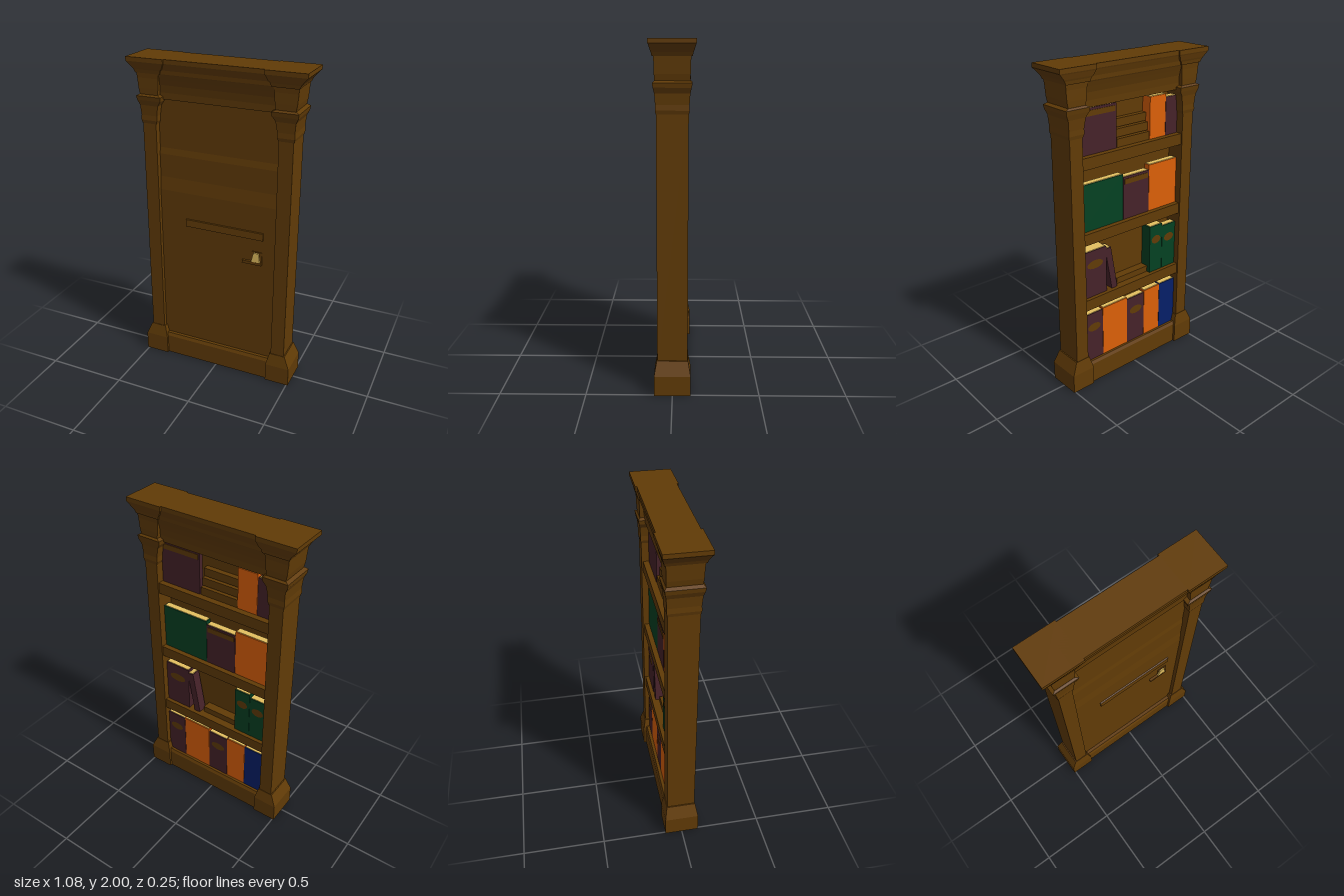
import * as THREE from 'three';

const mat = (name, color) => Object.assign(new THREE.MeshStandardMaterial({ color, side: THREE.DoubleSide, flatShading: true }), { name });

export function createModel() {
  const wood = mat('wood', 0x613b06);
  const purple = mat('purpleCover', 0x462229);
  const green = mat('greenCover', 0x044122);
  const orange = mat('orangeCover', 0xdc6008);
  const blue = mat('blueCover', 0x051f68);
  const cream = mat('pages', 0xe4c060);

  const root = new THREE.Group();
  root.name = 'bookcaseDoor';

  const add = (name, geo, material, parent = root) => {
    const m = new THREE.Mesh(geo, material);
    m.name = name;
    parent.add(m);
    return m;
  };
  // Box given by its limits on each axis
  const box = (name, x0, x1, y0, y1, z0, z1, material = wood, parent = root) => {
    const m = add(name, new THREE.BoxGeometry(x1 - x0, y1 - y0, z1 - z0), material, parent);
    m.position.set((x0 + x1) / 2, (y0 + y1) / 2, (z0 + z1) / 2);
    return m;
  };
  // Moulding: [z, y] profile swept along x over the given width
  const moulding = (name, profile, width) => {
    const shape = new THREE.Shape(profile.map(([z, y]) => new THREE.Vector2(z, y)));
    const geo = new THREE.ExtrudeGeometry(shape, { depth: width, bevelEnabled: false });
    geo.rotateY(-Math.PI / 2);
    geo.translate(width / 2, 0, 0);
    return add(name, geo, wood);
  };
  // Rectangular loft: rows of [y, innerX, outerX, halfZ]; side mirrors it
  const loft = (name, rows, side, capBottom, capTop) => {
    const rings = rows.map(([y, a, b, z]) => {
      const r = [[a, y, z], [b, y, z], [b, y, -z], [a, y, -z]].map(([x, h, d]) => [x * side, h, d]);
      return side > 0 ? r : [r[1], r[0], r[3], r[2]];
    });
    const pos = [];
    const quad = (a, b, c, d) => pos.push(...a, ...b, ...c, ...a, ...c, ...d);
    for (let i = 0; i + 1 < rings.length; i++) {
      for (let k = 0; k < 4; k++) {
        const n = (k + 1) % 4;
        quad(rings[i][k], rings[i][n], rings[i + 1][n], rings[i + 1][k]);
      }
    }
    const t = rings[rings.length - 1], o = rings[0];
    if (capTop) quad(t[0], t[1], t[2], t[3]);
    if (capBottom) quad(o[3], o[2], o[1], o[0]);
    const geo = new THREE.BufferGeometry();
    geo.setAttribute('position', new THREE.Float32BufferAttribute(pos, 3));
    geo.computeVertexNormals();
    return add(name, geo, wood);
  };

  // Pillars with open-bottomed pedestals, flared capitals and corner cornices
  for (const s of [1, -1]) {
    const side = s > 0 ? 'left' : 'right';
    loft(side + 'Pedestal', [
      [0, 0.355, 0.51, 0.105], [0.12, 0.355, 0.51, 0.105],
      [0.2, 0.375, 0.475, 0.09],
    ], s, false, true);
    loft(side + 'Pillar', [[0.13, 0.382, 0.468, 0.087], [1.65, 0.382, 0.468, 0.087]], s, true, false);
    loft(side + 'Capital', [
      [1.61, 0.38, 0.47, 0.088], [1.63, 0.372, 0.475, 0.092], [1.66, 0.372, 0.473, 0.091],
      [1.72, 0.362, 0.478, 0.095], [1.75, 0.342, 0.492, 0.102], [1.775, 0.338, 0.496, 0.106],
      [1.785, 0.36, 0.478, 0.095],
    ], s, true, true);
    loft(side + 'Block', [
      [1.78, 0.36, 0.474, 0.094], [1.82, 0.355, 0.482, 0.096], [1.88, 0.35, 0.487, 0.097], [1.915, 0.345, 0.49, 0.1],
    ], s, true, false);
    loft(side + 'CornerCornice', [
      [1.91, 0.335, 0.492, 0.106], [1.93, 0.33, 0.502, 0.11], [1.94, 0.32, 0.51, 0.114],
      [1.968, 0.307, 0.535, 0.122], [1.975, 0.303, 0.542, 0.125], [2, 0.303, 0.542, 0.125],
    ], s, true, true);
  }

  // Header cove and cornice between the pillars, same on both faces
  const half = [
    [0.066, 1.76], [0.068, 1.8], [0.075, 1.845], [0.087, 1.88], [0.096, 1.905],
    [0.1, 1.912], [0.102, 1.935], [0.112, 1.968], [0.115, 1.975], [0.115, 2],
  ];
  moulding('header', [...half, ...half.map(([z, y]) => [-z, y]).reverse()], 0.74);

  // Door panel, stepping back slightly towards the top
  moulding('doorPanel', [
    [0.025, 0.13], [0.06, 0.13], [0.06, 1.19], [0.052, 1.275], [0.052, 1.42],
    [0.046, 1.46], [0.046, 1.78], [0.025, 1.78],
  ], 0.77);

  // Base: front and back boards with a hollow underside
  moulding('baseFront', [[0.07, 0], [0.09, 0], [0.09, 0.13], [0.08, 0.15], [0.05, 0.15], [0.05, 0.13], [0.07, 0.13]], 0.74);
  moulding('baseBack', [[-0.07, 0], [-0.07, 0.15], [-0.08, 0.15], [-0.09, 0.13], [-0.09, 0]], 0.74);
  box('bottomShelf', -0.385, 0.385, 0.11, 0.145, -0.08, 0.07);

  // Door rail and handle
  moulding('doorRail', [[0.055, 0.97], [0.071, 0.973], [0.068, 1.018], [0.055, 1.022]], 0.51).position.x = 0.045;
  const handle = new THREE.Group();
  handle.name = 'handle';
  root.add(handle);
  box('handlePlate', 0.232, 0.295, 0.81, 0.89, 0.055, 0.065, wood, handle);
  const knobShape = new THREE.Shape([[0.228, 0.822], [0.285, 0.822], [0.275, 0.884], [0.244, 0.884]].map((p) => new THREE.Vector2(...p)));
  const knob = add('handleKnob', new THREE.ExtrudeGeometry(knobShape, { depth: 0.012, bevelEnabled: false }), cream, handle);
  knob.position.z = 0.062;
  box('handleLever', 0.17, 0.295, 0.805, 0.823, 0.06, 0.075, wood, handle);

  // Shelves on the back
  const shelfTops = [0.145, 0.59, 1.025, 1.485];
  shelfTops.slice(1).forEach((y) => box('shelf', -0.385, 0.385, y - 0.07, y, -0.078, 0.03));

  // Books: cover, cream page tops and optional spine label
  const books = new THREE.Group();
  books.name = 'books';
  root.add(books);
  const spines = [-0.06, -0.054, -0.047, -0.042];
  const book = (x0, x1, row, h, cover, label, depth = 0.042) => {
    const g = new THREE.Group();
    g.name = 'book';
    const w = x1 - x0 - 0.002;
    const spineZ = spines[row];
    g.position.set((x0 + x1) / 2, shelfTops[row], 0);
    books.add(g);
    box('cover', -w / 2, w / 2, 0, h, spineZ, spineZ + depth, cover, g);
    box('pageTops', -w / 2 + 0.006, w / 2 - 0.006, h, h + 0.004, spineZ + 0.005, spineZ + depth, cream, g);
    if (label === 'oval') {
      const o = add('label', new THREE.CircleGeometry(1, 14), wood, g);
      o.scale.set(Math.min(w * 0.36, 0.06), 0.028, 1);
      o.rotation.y = Math.PI;
      o.position.set(0, h * 0.7, spineZ - 0.002);
    } else if (label === 'band') {
      box('label', -w / 2 + 0.01, w / 2 - 0.01, h * 0.83, h * 0.95, spineZ - 0.003, spineZ, wood, g);
    }
    return g;
  };
  // Bottom row
  book(0.24, 0.378, 0, 0.33, purple, 'oval');
  book(0.04, 0.24, 0, 0.335, orange);
  book(-0.104, 0.04, 0, 0.32, purple, 'oval');
  book(-0.24, -0.104, 0, 0.33, orange);
  book(-0.378, -0.24, 0, 0.33, blue);
  // Second row, with one leaning book and one lying flat
  book(0.2, 0.378, 1, 0.305, purple, 'oval', 0.07);
  book(0.115, 0.16, 1, 0.29, purple, '', 0.06).rotation.z = -0.17;
  book(-0.262, -0.155, 1, 0.32, green, 'oval', 0.075);
  book(-0.378, -0.262, 1, 0.3, green, 'oval');
  box('lyingVolume', -0.155, 0.1, 0.59, 0.63, -0.03, 0.026, wood, books);
  // Third row
  book(0.06, 0.378, 2, 0.29, green);
  book(-0.146, 0.06, 2, 0.27, purple, 'band');
  book(-0.378, -0.146, 2, 0.3, orange);
  // Top row, with a stack of lying volumes
  book(0.105, 0.378, 3, 0.265, purple, 'band', 0.03);
  book(-0.28, -0.152, 3, 0.255, orange, '', 0.065);
  book(-0.378, -0.28, 3, 0.235, purple);
  [0, 1, 2].forEach((i) => box('lyingVolume', -0.15, 0.1, 1.485 + i * 0.055, 1.535 + i * 0.055, -0.04 + i * 0.016, 0.026, wood, books));

  return root;
}
